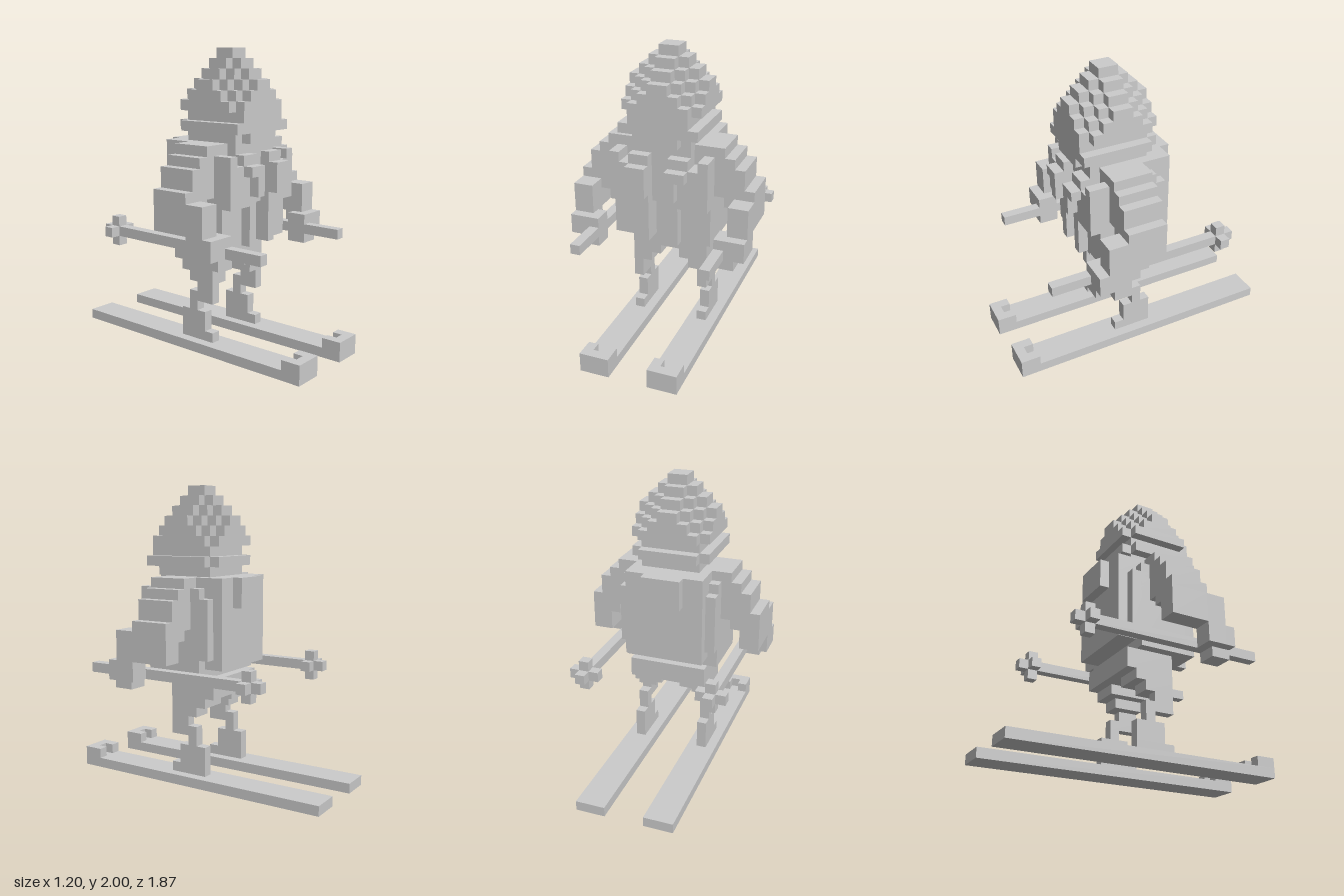
import * as THREE from 'three';

const U = 1 / 15; // one block
const material = new THREE.MeshStandardMaterial({ color: 0xcccccc, flatShading: true });

// Box from block limits: x0,x1, y0,y1, z0,z1
function box(parent, name, x0, x1, y0, y1, z0, z1) {
  const mesh = new THREE.Mesh(
    new THREE.BoxGeometry((x1 - x0) * U, (y1 - y0) * U, (z1 - z0) * U), material);
  mesh.position.set((x0 + x1) / 2 * U, (y0 + y1) / 2 * U, (z0 + z1) / 2 * U);
  mesh.name = name;
  parent.add(mesh);
}

// The same box on the left (+x) and right (-x)
function pair(parent, name, x0, x1, ...rest) {
  box(parent, name + 'Left', x0, x1, ...rest);
  box(parent, name + 'Right', -x1, -x0, ...rest);
}

function part(root, name) {
  const g = new THREE.Group();
  g.name = name;
  root.add(g);
  return g;
}

export function createModel() {
  const root = new THREE.Group();
  root.name = 'skier';

  // Stepped hat: diamond-shaped layers, clipped to four blocks each way
  const hat = part(root, 'hat');
  for (let n = 0; n <= 5; n++) {
    for (let k = 0; k <= Math.min(n, 3); k++) {
      const w = Math.min(n - k, 3) + 1;
      box(hat, 'hatStep', -w, w, 29 - n, 30 - n, 1 - k, 3 + k);
    }
  }

  // Face, chin and goggle strap
  const head = part(root, 'head');
  box(head, 'face', -3, 3, 22, 24, -1, 6);
  box(head, 'chin', -2, 2, 21, 22, -1, 6);
  box(head, 'jaw', -3, 3, 21, 22, -1, 5);
  pair(head, 'strapSide', 3, 4, 22, 23, -1, 6);
  box(head, 'strapBack', -3, 3, 22, 23, -2, -1);

  // Torso and open jacket
  const torso = part(root, 'torso');
  box(torso, 'body', -5, 5, 11, 20, -1, 4);
  box(torso, 'collar', -3, 3, 20, 21, -1, 5);
  box(torso, 'shirt', -3, 3, 15, 20, 3, 5);
  pair(torso, 'chestPanel', 1, 5, 15, 19, 4, 6);
  pair(torso, 'shoulderStrap', 4, 5, 19, 20, 3, 6);
  pair(torso, 'lapelTop', 1, 3, 19, 20, 4, 6);
  pair(torso, 'pocketBar', 1, 3, 18, 19, 6, 7);
  pair(torso, 'pocketEdge', 1, 2, 16, 18, 6, 7);
  pair(torso, 'jacketFront', 2, 5, 11, 15, 4, 5);
  pair(torso, 'jacketEdge', 1, 2, 11, 15, 4, 6);

  // Backpack with a rolled hood on top
  const pack = part(root, 'backpack');
  box(pack, 'packBase', -5, 5, 13, 19, -2, 0);
  box(pack, 'packBody', -4, 4, 12, 19, -3, 0);
  box(pack, 'hood', -4, 4, 19, 21, -3, 0);
  box(pack, 'hoodBack', -2, 2, 18, 21, -4, -3);

  // Arms, stepping outwards from the shoulder
  const arms = part(root, 'arms');
  pair(arms, 'shoulder', 3, 6, 20, 21, 0, 4);
  pair(arms, 'upperSleeve', 5, 7, 19, 20, 0, 4);
  pair(arms, 'sleeve', 5, 8, 17, 19, 0, 4);
  pair(arms, 'lowerSleeve', 5, 9, 16, 17, 0, 4);
  pair(arms, 'innerElbow', 6, 7, 15, 16, 0, 4);
  pair(arms, 'elbow', 7, 9, 13, 16, 0, 4);
  pair(arms, 'forearm', 7, 9, 11, 16, 4, 6);
  pair(arms, 'hand', 7, 9, 11, 13, 5, 7);
  pair(arms, 'thumb', 6, 7, 12, 13, 5, 7);
  pair(arms, 'fingers', 6, 8, 10, 11, 5, 7);

  // Poles with cross-shaped baskets
  const poles = part(root, 'poles');
  pair(poles, 'pole', 6, 7, 11, 12, -9, 11);
  pair(poles, 'basketWide', 5, 8, 11, 12, -8, -7);
  pair(poles, 'basketTall', 6, 7, 10, 13, -8, -7);

  // Hips and bent legs: inner x, bottom y, top y, back z, front z
  const legs = part(root, 'legs');
  box(legs, 'hips', -4, 4, 9, 11, -2, 3);
  for (const [x, y0, y1, z0, z1] of [
    [1, 8, 9, -1, 3], [2, 7, 8, 0, 3], [3, 6, 7, 1, 3], [3, 5, 6, 0, 3],
    [3, 4, 5, 0, 1], [3, 2, 4, -1, 2], [3, 1, 2, -1, 3],
  ]) pair(legs, y1 > 4 ? 'leg' : 'boot', x, 4, y0, y1, z0, z1);

  // Skis with notched, raised tips
  const skis = part(root, 'skis');
  pair(skis, 'ski', 2, 5, 0, 1, -14, 14);
  pair(skis, 'tip', 2, 5, 1, 2, 13, 14);
  pair(skis, 'tipInner', 2, 3, 1, 2, 12, 13);
  pair(skis, 'tipOuter', 4, 5, 1, 2, 12, 13);

  return root;
}
